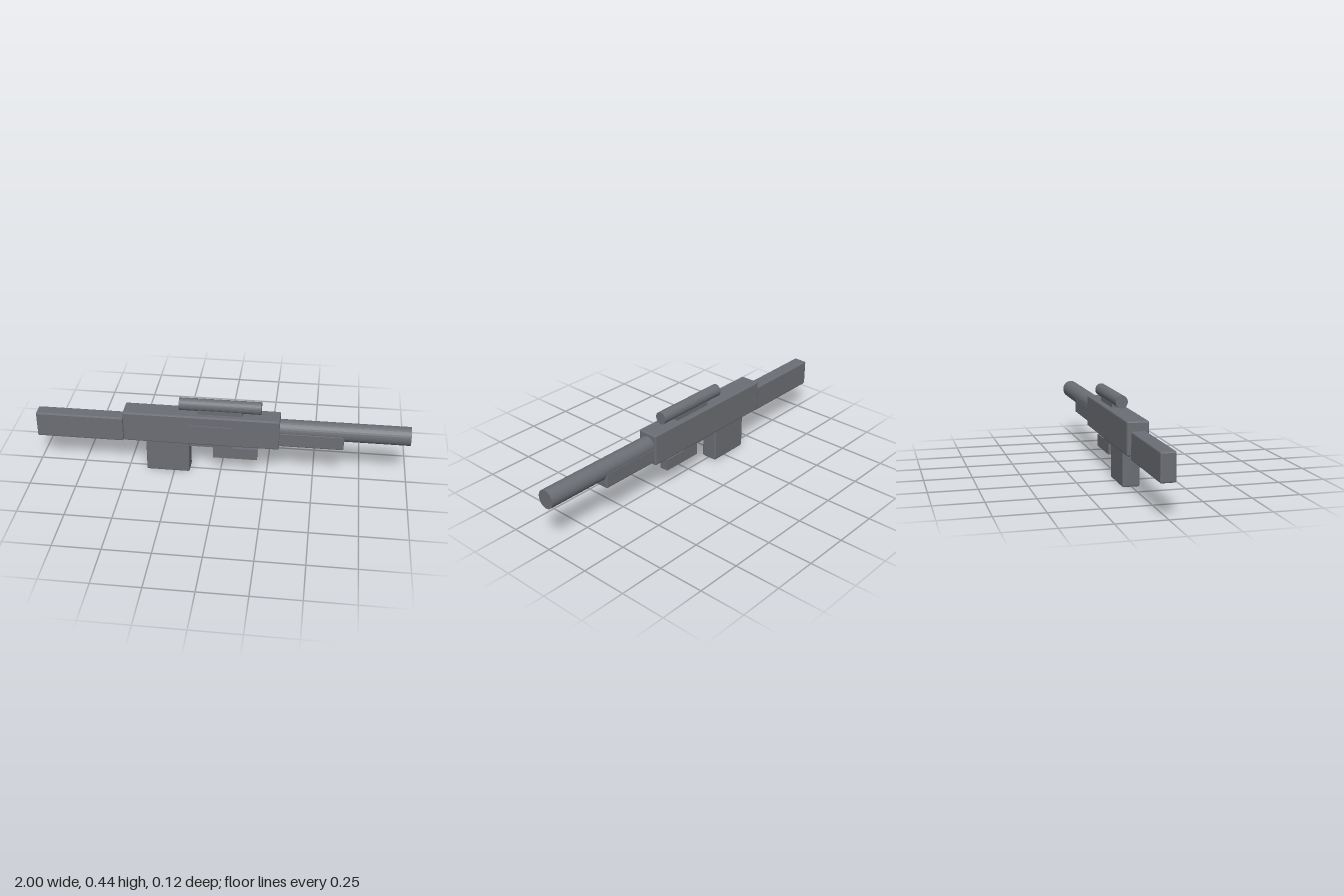
import * as THREE from 'three';
import { RoundedBoxGeometry } from 'three/addons/geometries/RoundedBoxGeometry.js';

export function createModel() {
  const group = new THREE.Group();
  const gunmetal = new THREE.MeshStandardMaterial({ name: 'gunmetal', color: 0x6b6e74 });
  const midZ = -0.004; // the long axis sits slightly behind the centre

  function add(name, geometry, x, y, z) {
    const mesh = new THREE.Mesh(geometry, gunmetal);
    mesh.name = name;
    mesh.position.set(x, y, z);
    group.add(mesh);
    return mesh;
  }

  // Box given by its limits; a bevel above zero trims all its edges
  function block(name, [x0, x1], [y0, y1], [z0, z1], bevel = 0) {
    const size = [x1 - x0, y1 - y0, z1 - z0];
    const geometry = bevel
      ? new RoundedBoxGeometry(...size, 1, bevel)
      : new THREE.BoxGeometry(...size);
    if (bevel) geometry.computeVertexNormals();
    return add(name, geometry, (x0 + x1) / 2, (y0 + y1) / 2, (z0 + z1) / 2);
  }

  // Tube along x, slightly narrower in z than in y
  function rod(name, [x0, x1], y, radius) {
    const geometry = new THREE.CylinderGeometry(radius, radius, x1 - x0, 32)
      .rotateZ(-Math.PI / 2)
      .scale(1, 1, 0.945)
      .toNonIndexed();
    geometry.computeVertexNormals();
    return add(name, geometry, (x0 + x1) / 2, y, midZ);
  }

  const around = (width) => [midZ - width / 2, midZ + width / 2];

  // Main body, stock, lower block and fore-end
  block('body', [-0.52, 0.316], [0.185, 0.357], around(0.112), 0.007);
  block('stock', [-1, -0.525], [0.167, 0.31], around(0.076), 0.007);
  block('grip', [-0.4, -0.166], [0, 0.2], around(0.09), 0.007);
  block('foreEnd', [0.3, 0.655], [0.203, 0.287], around(0.097), 0.007);

  // Barrel
  rod('barrel', [0.3, 1], 0.288, 0.0505);

  // Sight on its mount
  rod('sight', [-0.22, 0.216], 0.402, 0.034);
  block('sightMount', [-0.12, 0.118], [0.35, 0.385], around(0.05));

  // Stepped blocks under the body
  block('underMount', [-0.17, 0.065], [0.155, 0.19], around(0.05));
  block('underBlock', [-0.04, 0.198], [0.09, 0.155], around(0.05));

  // Raised plate on the front side
  block('sidePlate', [-0.17, 0.066], [0.241, 0.305], [0.045, 0.06]);

  return group;
}
